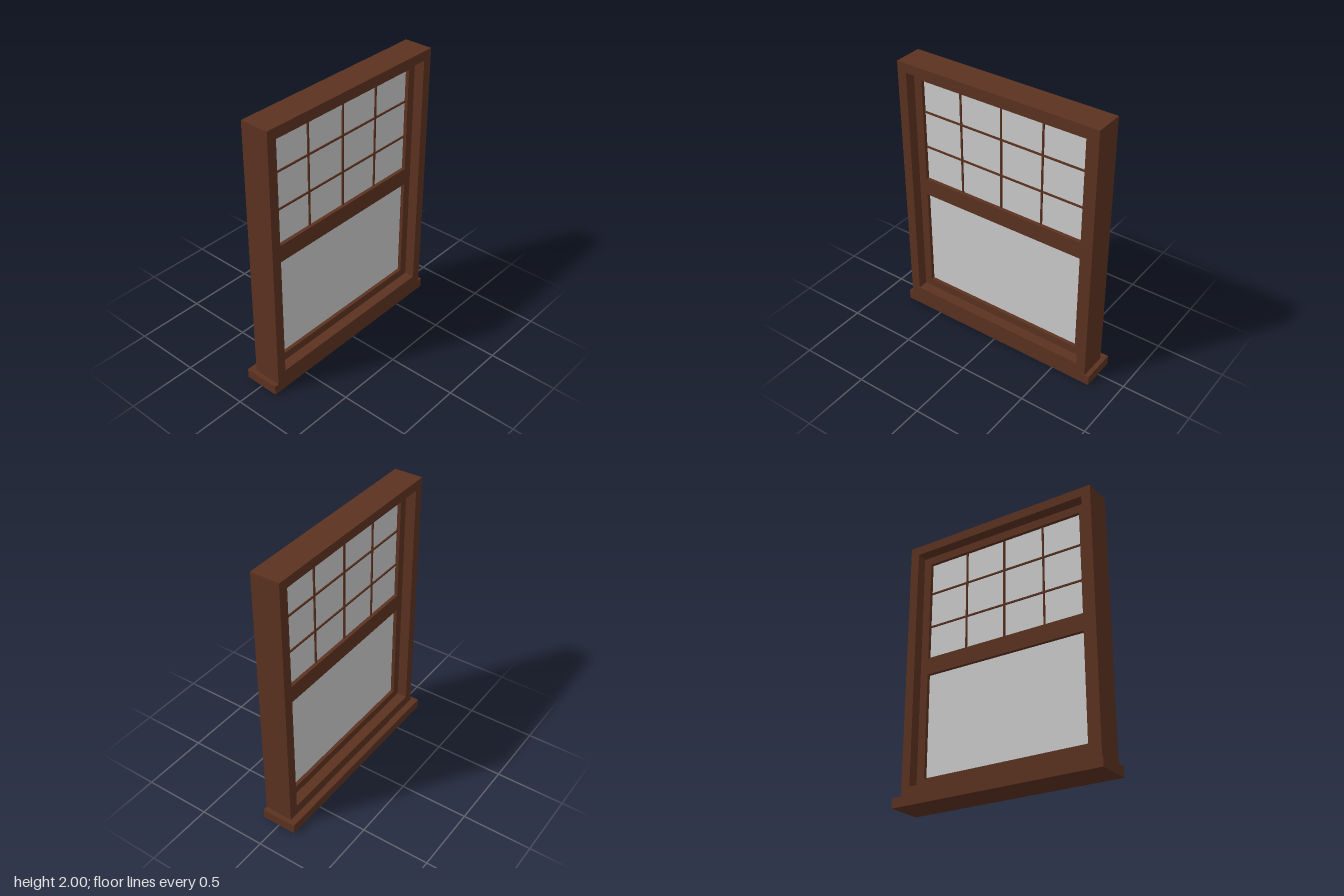
import * as THREE from 'three';

const wood = new THREE.MeshStandardMaterial({ color: 0x5c3220 });
const glass = new THREE.MeshStandardMaterial({ color: 0xcccccc });

// Box given by its limits on each axis
function box(name, material, [x0, x1], [y0, y1], [z0, z1]) {
  const mesh = new THREE.Mesh(new THREE.BoxGeometry(x1 - x0, y1 - y0, z1 - z0), material);
  mesh.position.set((x0 + x1) / 2, (y0 + y1) / 2, (z0 + z1) / 2);
  mesh.name = name;
  return mesh;
}

function rectangle(Type, halfWidth, y0, y1) {
  return new Type().setFromPoints([
    new THREE.Vector2(-halfWidth, y0), new THREE.Vector2(halfWidth, y0),
    new THREE.Vector2(halfWidth, y1), new THREE.Vector2(-halfWidth, y1),
  ]);
}

// Flat rectangular surround with rectangular openings, each [halfWidth, y0, y1]
function surround(name, outer, openings, z0, z1) {
  const shape = rectangle(THREE.Shape, ...outer);
  for (const o of openings) shape.holes.push(rectangle(THREE.Path, ...o));
  const geometry = new THREE.ExtrudeGeometry(shape, { depth: z1 - z0, bevelEnabled: false });
  geometry.translate(0, 0, z0);
  const mesh = new THREE.Mesh(geometry, wood);
  mesh.name = name;
  return mesh;
}

export function createModel() {
  const model = new THREE.Group();
  model.name = 'window';
  const paneHalf = 0.631;
  const lower = [0.21, 0.973];
  const upper = [1.1, 1.865];

  // Sill, reaching out behind the frame
  model.add(box('sill', wood, [-0.796, 0.796], [0, 0.072], [-0.13, 0.13]));

  // Outer frame
  model.add(surround('frame', [0.763, 0.072, 2], [[0.693, 0.148, 1.932]], -0.08, 0.13));

  // Sash recessed from both faces, with a narrow gap below the header
  model.add(surround('sash', [0.693, 0.148, 1.926],
    [[paneHalf, ...lower], [paneHalf, ...upper]], -0.005, 0.055));

  // Glass panes
  const paneZ = [0.021, 0.029];
  model.add(box('lowerPane', glass, [-paneHalf, paneHalf], lower, paneZ));
  model.add(box('upperPane', glass, [-paneHalf, paneHalf], upper, paneZ));

  // Glazing bars of the upper pane
  const bars = new THREE.Group();
  bars.name = 'glazingBars';
  const barZ = [0.012, 0.038];
  const r = 0.006;
  for (const x of [-0.327, -0.006, 0.314])
    bars.add(box('verticalBar', wood, [x - r, x + r], upper, barZ));
  for (const y of [1.355, 1.625])
    bars.add(box('horizontalBar', wood, [-paneHalf, paneHalf], [y - r, y + r], barZ));
  model.add(bars);

  return model;
}
